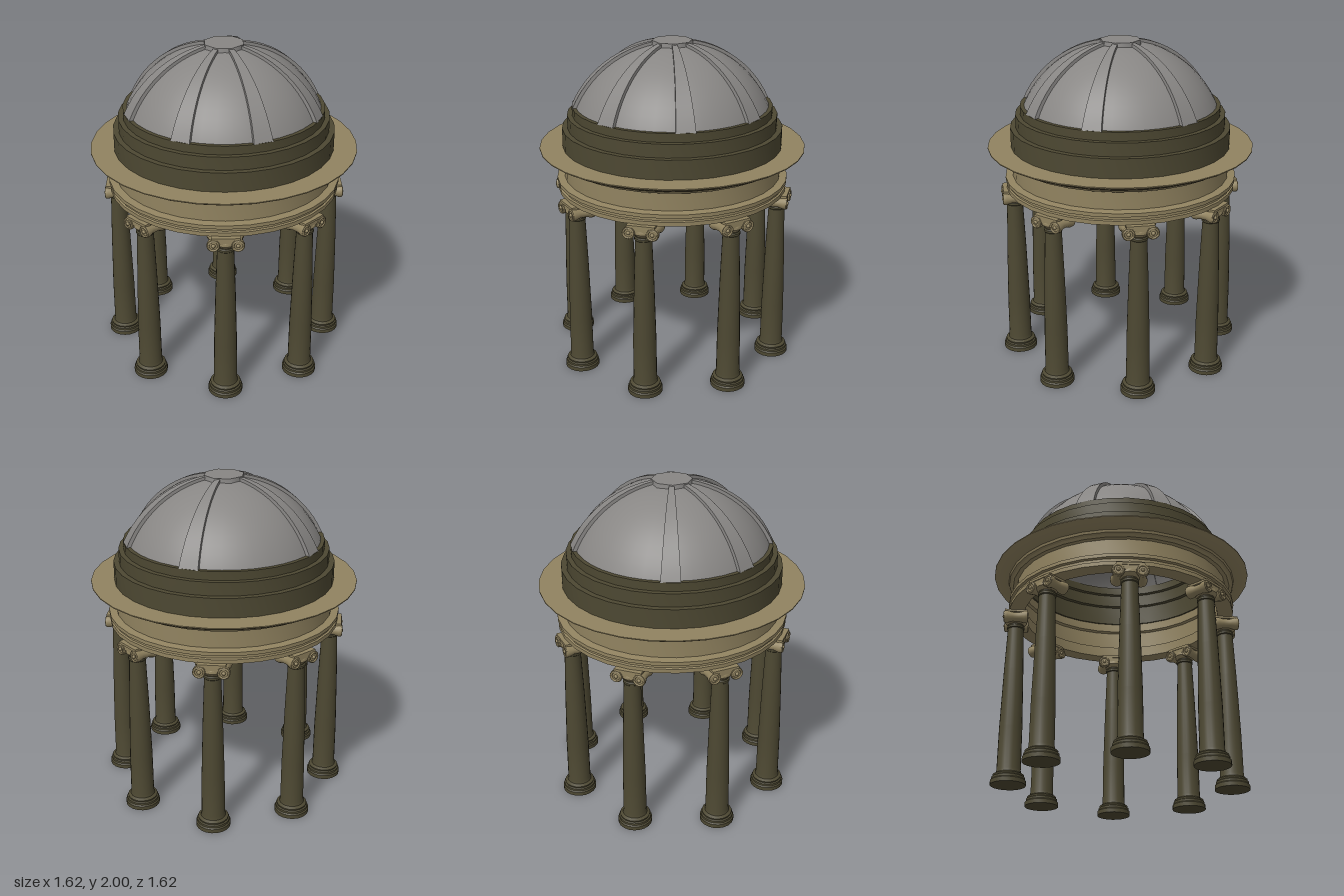
import * as THREE from 'three';
import { toCreasedNormals } from 'three/addons/utils/BufferGeometryUtils.js';

const mat = (name, color, side = THREE.FrontSide) => {
  const m = new THREE.MeshStandardMaterial({ color, side });
  m.name = name;
  return m;
};

// Turned solid from [radius, height] pairs, running outward then upward
const turned = (pairs, segments) => toCreasedNormals(
  new THREE.LatheGeometry(pairs.map(([r, y]) => new THREE.Vector2(r, y)), segments), 0.5);

export function createModel() {
  const olive = mat('olive stone', 0x4d4832);
  const tan = mat('tan stone', 0x918360);
  const grey = mat('grey lead', 0x888684, THREE.DoubleSide);

  const model = new THREE.Group();
  model.name = 'rotunda';
  const add = (parent, name, geometry, material, x = 0, y = 0, z = 0) => {
    const mesh = new THREE.Mesh(geometry, material);
    mesh.name = name;
    mesh.position.set(x, y, z);
    parent.add(mesh);
    return mesh;
  };

  // Entablature: architrave, frieze and wide cornice, closed on the inside
  add(model, 'entablature', turned([
    [0.61, 1.10], [0.705, 1.10], [0.705, 1.125], [0.695, 1.13], [0.695, 1.145],
    [0.71, 1.15], [0.71, 1.172], [0.665, 1.178], [0.665, 1.29], [0.69, 1.292],
    [0.70, 1.305], [0.715, 1.31], [0.72, 1.325], [0.76, 1.33], [0.79, 1.345],
    [0.81, 1.357], [0.81, 1.363], [0.63, 1.363], [0.63, 1.30], [0.645, 1.29],
    [0.645, 1.18], [0.61, 1.17], [0.61, 1.10],
  ], 32), tan);

  // Stepped drum carrying the dome
  add(model, 'drum', turned([
    [0.62, 1.355], [0.67, 1.355], [0.67, 1.48], [0.637, 1.48], [0.637, 1.56],
    [0.607, 1.56], [0.607, 1.612], [0.565, 1.612], [0.565, 1.56], [0.592, 1.56],
    [0.592, 1.48], [0.62, 1.48], [0.62, 1.355],
  ], 32), olive);

  // Dome shell: cap of a sphere centred below the drum top
  const centreY = 1.343, rim = Math.acos(0.25 / 0.657);
  add(model, 'dome', new THREE.SphereGeometry(0.642, 40, 14, 0, Math.PI * 2, 0, rim),
    grey, 0, centreY, 0);
  add(model, 'domeHub', new THREE.CylinderGeometry(0.122, 0.128, 0.035, 8), grey, 0, 1.981, 0);

  // Tapering ribs: a box bent over the dome
  const rib = new THREE.BoxGeometry(1, 1, 1, 1, 1, 12);
  const p = rib.attributes.position;
  for (let i = 0; i < p.count; i++) {
    const t = p.getZ(i) + 0.5;
    const angle = THREE.MathUtils.lerp(0.17, Math.acos(0.267 / 0.66), t);
    const radius = p.getY(i) > 0 ? 0.66 : 0.63;
    const width = THREE.MathUtils.lerp(0.03, 0.115, t);
    p.setXYZ(i, p.getX(i) * width, centreY + radius * Math.cos(angle), radius * Math.sin(angle));
  }
  rib.computeVertexNormals();
  for (const degrees of [2, 46, 92, 137, 183, 228, 306]) {
    add(model, 'domeRib', rib, grey).rotation.y = Math.PI / 2 - THREE.MathUtils.degToRad(degrees);
  }

  // Column shaft with moulded base and neck ring
  const shaft = turned([
    [0, 0], [0.105, 0], [0.105, 0.025], [0.098, 0.032], [0.098, 0.045], [0.09, 0.05],
    [0.092, 0.06], [0.075, 0.07], [0.071, 0.09], [0.069, 0.35], [0.059, 0.72],
    [0.049, 0.995], [0.054, 1.0], [0.054, 1.012], [0.048, 1.018], [0.048, 1.05],
  ], 20);

  // Scroll capital pieces; each scroll roll lies along the radial direction
  const roll = turned([
    [0, -0.07], [0.038, -0.07], [0.038, -0.052], [0.028, -0.02], [0.028, 0.02],
    [0.038, 0.052], [0.038, 0.07], [0, 0.07],
  ], 16).rotateX(Math.PI / 2);
  const curl = new THREE.TorusGeometry(0.029, 0.006, 6, 16);
  const eye = new THREE.SphereGeometry(0.012, 10, 6);
  const cushion = turned([
    [0, 1.025], [0.05, 1.025], [0.068, 1.045], [0.068, 1.06], [0.06, 1.075], [0, 1.075],
  ], 20);
  const bridge = new THREE.BoxGeometry(0.14, 0.035, 0.13);
  const abacus = new THREE.BoxGeometry(0.165, 0.015, 0.14);

  for (let i = 0; i < 8; i++) {
    const a = (i + 0.5) * Math.PI / 4;
    const column = new THREE.Group();
    column.name = 'column';
    column.position.set(0.66 * Math.sin(a), 0, 0.66 * Math.cos(a));
    column.rotation.y = a;
    model.add(column);
    add(column, 'shaft', shaft, olive);

    const capital = new THREE.Group();
    capital.name = 'capital';
    column.add(capital);
    add(capital, 'cushion', cushion, tan);
    add(capital, 'bridge', bridge, tan, 0, 1.077, 0);
    add(capital, 'abacus', abacus, tan, 0, 1.095, 0);
    for (const side of [-1, 1]) {
      add(capital, 'scroll', roll, tan, side * 0.07, 1.055, 0);
      for (const face of [-1, 1]) {
        add(capital, 'scrollCurl', curl, tan, side * 0.07, 1.055, face * 0.07);
        add(capital, 'scrollEye', eye, tan, side * 0.07, 1.055, face * 0.07);
      }
    }
  }
  return model;
}
